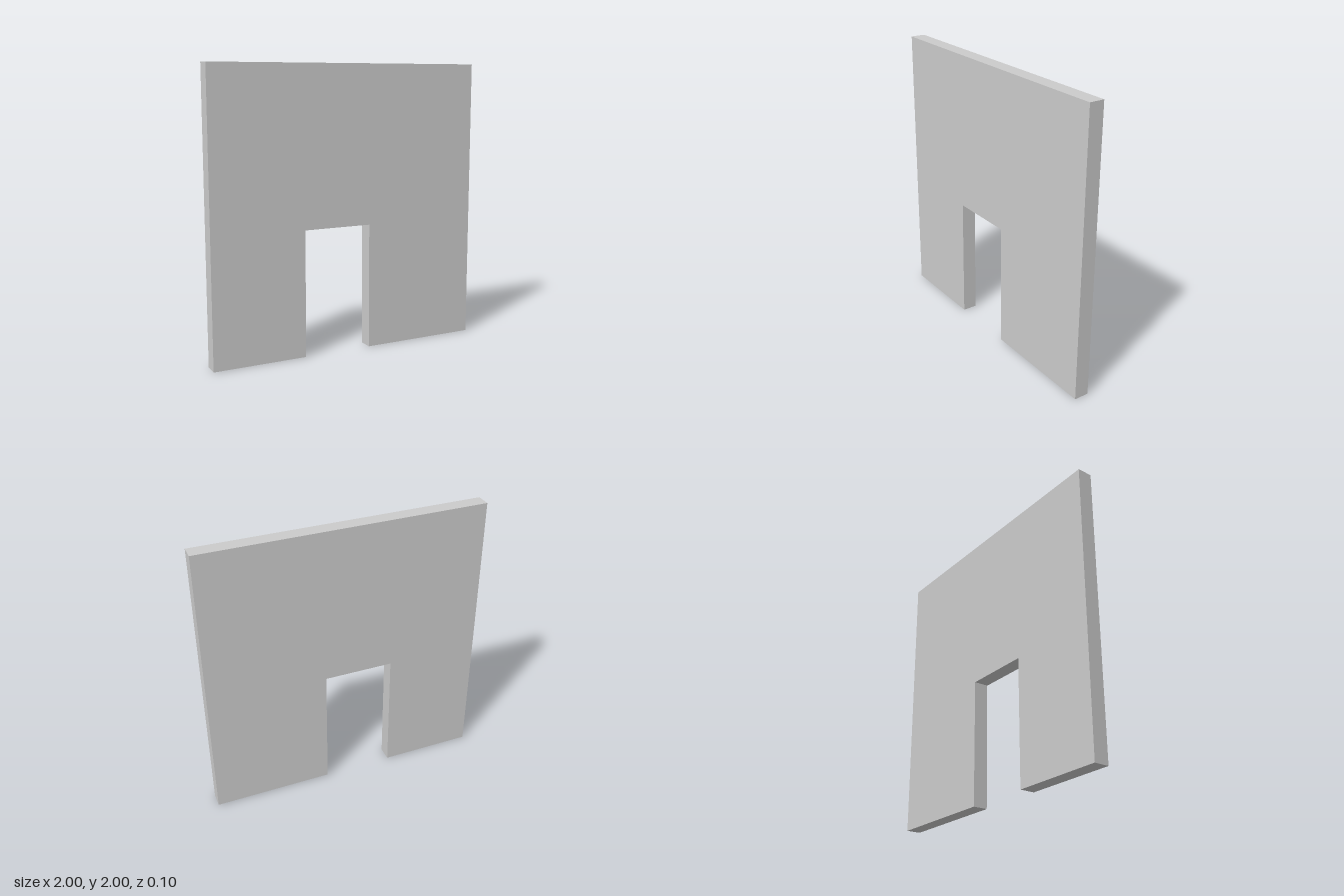
import * as THREE from 'three';

const DEPTH = 0.104;

export function createModel() {
  const model = new THREE.Group();
  model.name = 'wallWithDoorway';

  // Wall outline, counter-clockwise, with the doorway notched into the base
  const outline = new THREE.Shape([
    [-1, 0], [-0.338, 0], [-0.334, 0.887], [0.156, 0.887],
    [0.156, 0], [1, 0], [1, 2], [-1, 2],
  ].map(([x, y]) => new THREE.Vector2(x, y)));

  const geometry = new THREE.ExtrudeGeometry(outline, { depth: DEPTH, bevelEnabled: false });
  geometry.translate(0, 0, -DEPTH / 2);

  const wall = new THREE.Mesh(
    geometry,
    new THREE.MeshStandardMaterial({ color: 0xcccccc, flatShading: true }),
  );
  wall.name = 'wall';
  model.add(wall);
  return model;
}
